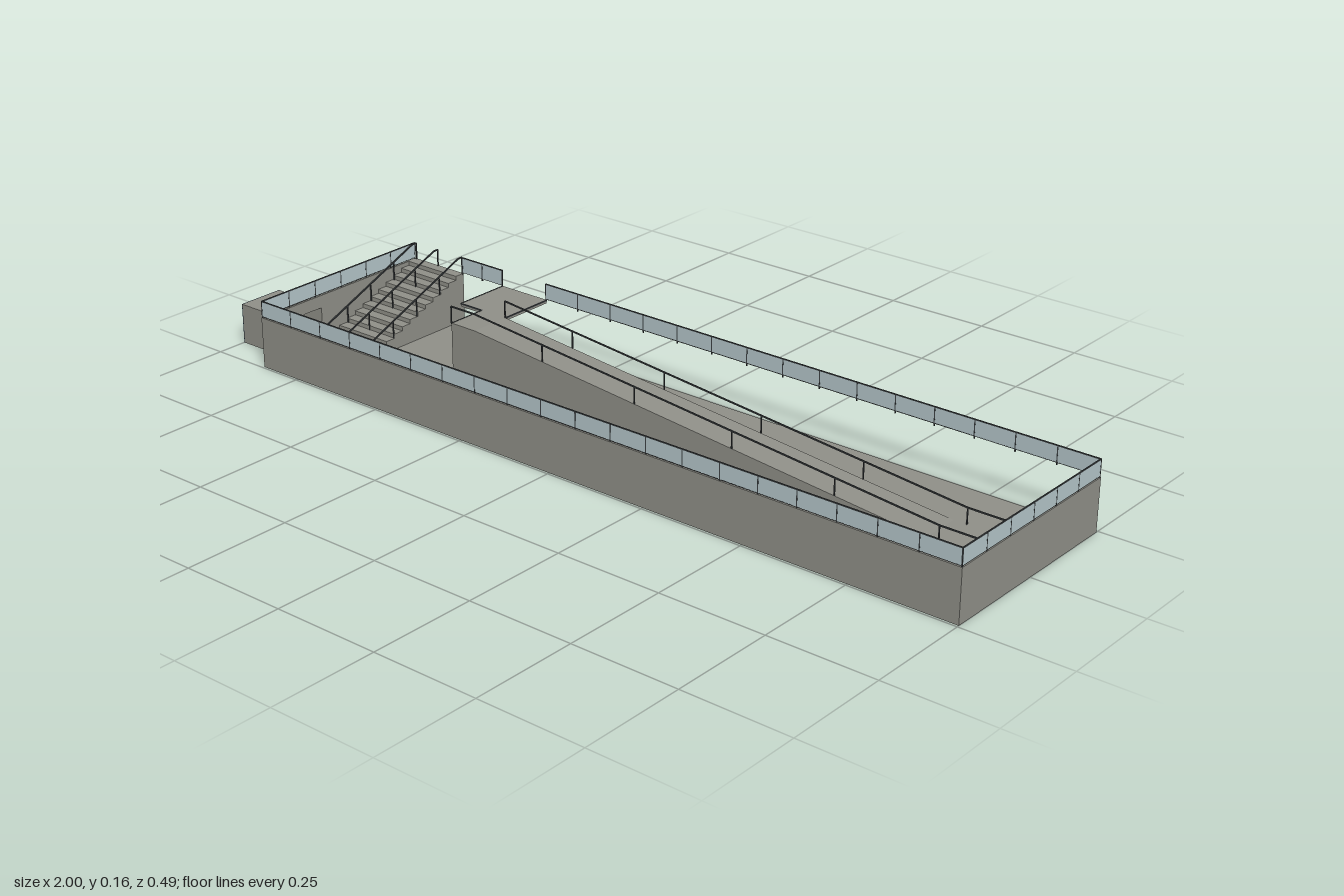
import * as THREE from 'three';

const mat = (name, color) => Object.assign(new THREE.MeshStandardMaterial({ color }), { name });

export function createModel() {
  const concrete = mat('concrete', 0x8f8f88);
  const metal = mat('dark metal', 0x3c4042);
  const glass = mat('pale glass', 0xb4c6c9);
  const navy = mat('navy panel', 0x2b4256);
  const orange = mat('orange panel', 0xc2834f);
  const pale = mat('pale grey panel', 0x9fb0b8);

  const model = new THREE.Group();
  const group = (name) => {
    const g = new THREE.Group();
    g.name = name;
    model.add(g);
    return g;
  };
  const add = (parent, name, geometry, material) => {
    const m = new THREE.Mesh(geometry, material);
    m.name = name;
    parent.add(m);
    return m;
  };
  // Box given by its minimum and maximum corners
  const box = (parent, name, material, x0, x1, y0, y1, z0, z1) => {
    const m = add(parent, name, new THREE.BoxGeometry(x1 - x0, y1 - y0, z1 - z0), material);
    m.position.set((x0 + x1) / 2, (y0 + y1) / 2, (z0 + z1) / 2);
    return m;
  };
  // Square bar between two points
  const bar = (parent, name, a, b, t = 0.003) => {
    const p = new THREE.Vector3(...a), q = new THREE.Vector3(...b);
    const m = add(parent, name, new THREE.BoxGeometry(t, t, p.distanceTo(q)), metal);
    m.position.copy(p).add(q).multiplyScalar(0.5);
    m.lookAt(q);
  };
  const polygon = (points) => new THREE.Shape(points.map(([x, y]) => new THREE.Vector2(x, y)));
  const extrude = (shape, depth) => new THREE.ExtrudeGeometry(shape, { depth, bevelEnabled: false });

  const L = -0.858, R = 1, F = 0.245, B = -0.245, H = 0.12, T = 0.005, RAIL = 0.04;

  // Sunken court, open along the back
  const court = group('court');
  box(court, 'floor', concrete, L, R, 0, 0.003, B, F);
  box(court, 'frontWall', concrete, L, R, 0, H, F - T, F);
  box(court, 'leftWall', concrete, R - T, R, 0, H, B, F);
  const side = polygon([[-F, 0], [-B, 0], [-B, H], [-F, H]]);
  side.holes.push(polygon([[-0.172, 0.004], [-0.172, 0.09], [-0.067, 0.09], [-0.067, 0.004]]));
  add(court, 'rightWall', extrude(side, T).rotateY(Math.PI / 2), concrete).position.x = L;

  // Passage leading out of the right wall
  const passage = group('passage');
  box(passage, 'passageFloor', concrete, -0.998, L, 0, 0.004, 0.062, 0.177);
  box(passage, 'passageRoof', concrete, -0.998, L, 0.09, 0.095, 0.062, 0.177);
  box(passage, 'passageBackWall', concrete, -0.998, L, 0.004, 0.09, 0.062, 0.067);
  box(passage, 'passageFrontWall', concrete, -0.998, L, 0.004, 0.09, 0.172, 0.177);
  box(passage, 'passageEnd', navy, -1, -0.998, 0, 0.095, 0.062, 0.177);

  // Decorated inner face of the front wall
  const mural = group('mural');
  const zi = F - T;
  box(mural, 'muralBackground', navy, L + T, R - T, 0.003, H - 0.002, zi - 0.002, zi);
  const panel = (name, m, x0, x1, y0, y1) => box(mural, name, m, x0, x1, y0, y1, zi - 0.004, zi - 0.002);
  panel('orangePanel', orange, 0.38, 0.55, 0.045, 0.063);
  panel('orangePanel', orange, 0.4, 0.55, 0.02, 0.034);
  panel('orangePanel', orange, 0.15, 0.38, 0.004, 0.015);
  panel('orangePanel', orange, -0.294, -0.086, 0.075, 0.096);
  panel('orangePanel', orange, -0.26, -0.086, 0.035, 0.056);
  panel('palePanel', pale, 0.38, 0.5, 0.075, 0.09);
  panel('palePanel', pale, -0.294, -0.225, 0.01, 0.03);
  panel('palePanel', pale, 0.96, 0.99, 0.06, 0.085);
  let seed = 7;
  const random = () => (seed = (seed * 16807) % 2147483647) / 2147483647;
  for (const [x0, x1] of [[0.6, 0.95], [0.0, 0.34], [-0.75, -0.33]]) {
    for (let i = 0; i < 55; i++) {
      const x = x0 + random() * (x1 - x0), y = 0.03 + Math.floor(random() * 7) * 0.01;
      panel('paleDot', pale, x, x + 0.004 + random() * 0.004, y, y + 0.003);
    }
  }

  // Glass balustrade round the rim, with gaps for the stairs and bridge
  const balustrade = group('balustrade');
  const fence = (x0, z0, x1, z1, n) => {
    const at = (k, y) => [x0 + (x1 - x0) * k / n, y, z0 + (z1 - z0) * k / n];
    const pane = add(balustrade, 'glassPane',
      new THREE.BoxGeometry(Math.max(Math.abs(x1 - x0), 0.002), 0.036, Math.max(Math.abs(z1 - z0), 0.002)), glass);
    pane.position.set((x0 + x1) / 2, 0.141, (z0 + z1) / 2);
    bar(balustrade, 'topRail', at(0, H + RAIL - 0.001), at(n, H + RAIL - 0.001), 0.0025);
    bar(balustrade, 'bottomRail', at(0, 0.123), at(n, 0.123), 0.002);
    for (let k = 0; k <= n; k++) bar(balustrade, 'post', at(k, H - 0.003), at(k, H + RAIL), 0.0025);
  };
  const e = 0.002;
  fence(L + e, F - e, R - e, F - e, 20);
  fence(R - e, F - e, R - e, B + e, 6);
  fence(L + e, F - e, L + e, B + e, 6);
  fence(-0.44, B + e, R - e, B + e, 15);
  fence(-0.7, B + e, -0.575, B + e, 2);

  // Stairs rising towards the back
  const stairs = group('stairs');
  const zFoot = 0.065, steps = 12, run = (zFoot - B) / steps, rise = H / steps;
  const profile = [[-zFoot, 0]];
  for (let i = 0; i < steps; i++) {
    profile.push([-zFoot + i * run, (i + 1) * rise], [-zFoot + (i + 1) * run, (i + 1) * rise]);
  }
  profile.push([-B, 0]);
  add(stairs, 'steps', extrude(polygon(profile), 0.153).rotateY(Math.PI / 2), concrete).position.x = L + T;
  for (const x of [L + T + 0.003, -0.78, -0.702]) {
    bar(stairs, 'handrail', [x, RAIL, zFoot], [x, H + RAIL, B + 0.015]);
    bar(stairs, 'handrailEnd', [x, H + RAIL, B + 0.015], [x, H + RAIL, B + e]);
    for (let k = 0; k <= 4; k++) {
      const z = zFoot + (B + e - zFoot) * k / 4, y = H * k / 4;
      bar(stairs, 'stairPost', [x, y, z], [x, y + RAIL, z], 0.0025);
    }
  }

  // Bridge from the back edge to the ramp landing, with a dark edge trim
  const bridge = group('bridge');
  box(bridge, 'deck', concrete, -0.575, -0.44, H - 0.008, H, B, -0.105);
  bar(bridge, 'edgeTrim', [-0.575, H - 0.001, B], [-0.575, H - 0.001, -0.105]);
  bar(bridge, 'edgeTrim', [-0.575, H - 0.001, -0.105], [-0.51, H - 0.001, -0.105]);
  bar(bridge, 'edgeTrim', [-0.44, H - 0.001, B], [-0.44, H - 0.001, -0.105]);
  bar(bridge, 'edgeTrim', [-0.51, H - 0.001, -0.105], [-0.51, H - 0.001, -0.005]);

  // Long ramp with a landing at its head and handrails on both sides
  const ramp = group('ramp');
  const foot = 0.79, head = -0.44;
  add(ramp, 'rampBody', extrude(polygon([[-0.51, 0], [foot, 0], [head, H], [-0.51, H]]), 0.1), concrete)
    .position.z = -0.105;
  const rampY = (x) => H * THREE.MathUtils.clamp((foot - x) / (foot - head), 0, 1);
  for (const [z, start] of [[-0.105, head], [-0.005, -0.51]]) {
    const stops = [start, head, foot, 0.89];
    for (let i = 0; i < 3; i++) {
      const [a, b] = [stops[i], stops[i + 1]];
      if (b > a) bar(ramp, 'handrail', [a, rampY(a) + RAIL, z], [b, rampY(b) + RAIL, z]);
    }
    for (const x of [start, -0.24, 0.02, 0.28, 0.54, foot, 0.89]) {
      bar(ramp, 'rampPost', [x, rampY(x), z], [x, rampY(x) + RAIL, z], 0.0025);
    }
  }
  return model;
}
